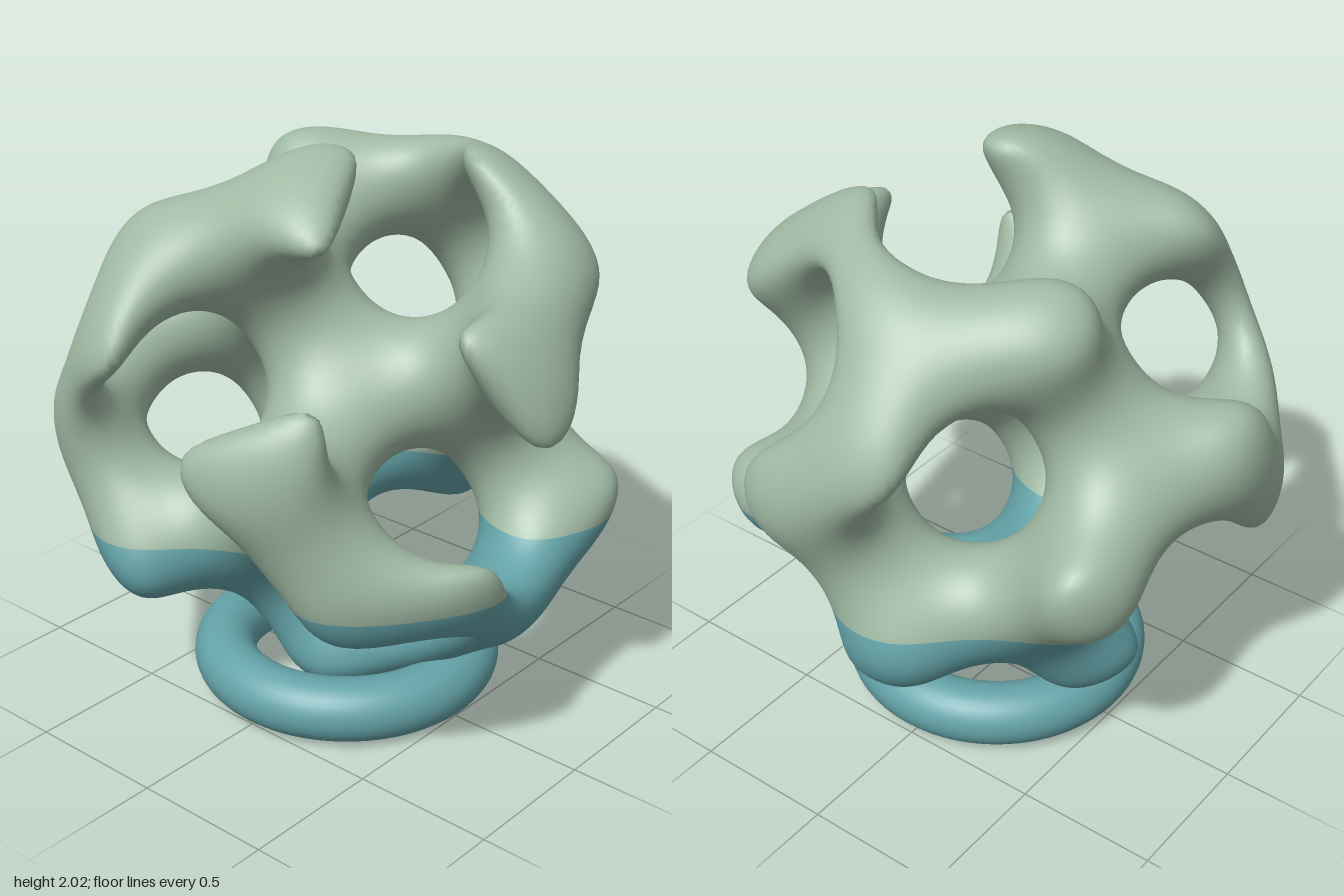
import * as THREE from 'three';

// Gyroid network trimmed to a ball, resting on a ring
const PERIOD = 1.01, LEVEL = 0.26, RADIUS = 1.003, ROUNDING = 0.26;
const CENTER = [0.0125, 1.07, 0.015];
const CUT = -0.355;            // height of the colour change, relative to the centre
const H = 0.025, N = 84, LO = -1.0425, CUT_ROW = 27;

// Soft maximum, rounds the edge where two shapes intersect
function smax(a, b, k) {
  const h = Math.max(k - Math.abs(a - b), 0) / k;
  return Math.max(a, b) + h * h * k / 4;
}

// Negative inside the solid
function field(x, y, z) {
  const w = 2 * Math.PI / PERIOD, u = x * w, v = y * w, t = z * w;
  const g = Math.sin(u) * Math.cos(v) + Math.sin(v) * Math.cos(t) + Math.sin(t) * Math.cos(u);
  return smax((LEVEL - g) / 8, Math.hypot(x, y, z) - RADIUS, ROUNDING);
}

function gradient([x, y, z], e = 0.002) {
  return [
    (field(x + e, y, z) - field(x - e, y, z)) / (2 * e),
    (field(x, y + e, z) - field(x, y - e, z)) / (2 * e),
    (field(x, y, z + e) - field(x, y, z - e)) / (2 * e),
  ];
}

// Sample the field and drop any pieces not joined to the main network
function sampleField(step) {
  const values = new Float32Array(N * N * N);
  for (let k = 0, n = 0; k < N; k++)
    for (let j = 0; j < N; j++)
      for (let i = 0; i < N; i++) values[n++] = field(LO + i * H, LO + j * H, LO + k * H);
  const s = Math.round((PERIOD / 8 - LO) / H);
  const start = s * (1 + N + N * N);
  const keep = new Uint8Array(values.length);
  const stack = [start];
  keep[start] = 1;
  while (stack.length) {
    const n = stack.pop();
    for (const d of step) {
      for (const m of [n + d, n - d]) {
        if (values[m] < 0 && !keep[m]) {
          keep[m] = 1;
          stack.push(m);
        }
      }
    }
  }
  return values.map((v, n) => (keep[n] ? v : Math.max(Math.abs(v), 1e-5)));
}

// Slide a point onto the surface; points on the colour line keep their height
function settle(p, onLine) {
  if (onLine) p[1] = CUT;
  for (let pass = 0; pass < 2; pass++) {
    const g = gradient(p);
    if (onLine) g[1] = 0;
    const len2 = g[0] ** 2 + g[1] ** 2 + g[2] ** 2;
    if (len2 < 0.05) return;
    const len = Math.sqrt(len2);
    const move = THREE.MathUtils.clamp(field(...p) / len, -H / 2, H / 2) / len;
    for (let a = 0; a < 3; a++) p[a] -= g[a] * move;
  }
}

function networkGeometry() {
  const step = [1, N, N * N];
  const values = sampleField(step);
  const vertexOf = new Int32Array(values.length).fill(-1);
  const positions = [], normals = [];

  // One vertex in every cell the surface passes through
  for (let k = 0; k < N - 1; k++)
    for (let j = 0; j < N - 1; j++)
      for (let i = 0; i < N - 1; i++) {
        const n = i + N * (j + N * k), cell = [i, j, k];
        const p = [0, 0, 0];
        let hits = 0;
        for (let a = 0; a < 3; a++) {
          const b = (a + 1) % 3, c = (a + 2) % 3;
          for (let q = 0; q < 4; q++) {
            const db = q & 1, dc = q >> 1;
            const m = n + db * step[b] + dc * step[c];
            const v0 = values[m], v1 = values[m + step[a]];
            if (v0 < 0 === v1 < 0) continue;
            p[a] += v0 / (v0 - v1);
            p[b] += db;
            p[c] += dc;
            hits++;
          }
        }
        if (!hits) continue;
        const point = p.map((s, a) => LO + (cell[a] + s / hits) * H);
        settle(point, j === CUT_ROW);
        const g = gradient(point), len = Math.hypot(...g) || 1;
        vertexOf[n] = positions.length / 3;
        positions.push(...point);
        normals.push(g[0] / len, g[1] / len, g[2] / len);
      }

  // One quad around every grid edge that crosses the surface
  const lower = [], upper = [];
  for (let k = 1; k < N - 1; k++)
    for (let j = 1; j < N - 1; j++)
      for (let i = 1; i < N - 1; i++) {
        const n = i + N * (j + N * k);
        for (let a = 0; a < 3; a++) {
          const inside = values[n] < 0;
          if (inside === values[n + step[a]] < 0) continue;
          const b = step[(a + 1) % 3], c = step[(a + 2) % 3];
          const quad = [n, n - b, n - b - c, n - c].map((m) => vertexOf[m]);
          if (!inside) quad.reverse();
          const y = quad.reduce((sum, v) => sum + positions[v * 3 + 1], 0) / 4;
          const [q0, q1, q2, q3] = quad;
          (y < CUT - 1e-4 ? lower : upper).push(q0, q1, q2, q0, q2, q3);
        }
      }

  const geometry = new THREE.BufferGeometry();
  geometry.setAttribute('position', new THREE.Float32BufferAttribute(positions, 3));
  geometry.setAttribute('normal', new THREE.Float32BufferAttribute(normals, 3));
  geometry.setIndex(lower.concat(upper));
  geometry.addGroup(0, lower.length, 0);
  geometry.addGroup(lower.length, upper.length, 1);
  return geometry;
}

export function createModel() {
  const teal = new THREE.MeshStandardMaterial({ color: 0x64a3a8 });
  teal.name = 'teal';
  const sage = new THREE.MeshStandardMaterial({ color: 0xa0baa4 });
  sage.name = 'sage green';

  const model = new THREE.Group();
  model.name = 'gyroidSculpture';

  // Lattice ball, teal below the colour line and green above it
  const ball = new THREE.Mesh(networkGeometry(), [teal, sage]);
  ball.name = 'latticeBall';
  ball.position.set(...CENTER);
  model.add(ball);

  // Ring stand
  const ring = new THREE.Mesh(new THREE.TorusGeometry(0.435, 0.11, 32, 96), teal);
  ring.name = 'ringStand';
  ring.rotation.x = Math.PI / 2;
  ring.position.set(CENTER[0], 0.11, CENTER[2]);
  model.add(ring);

  return model;
}
